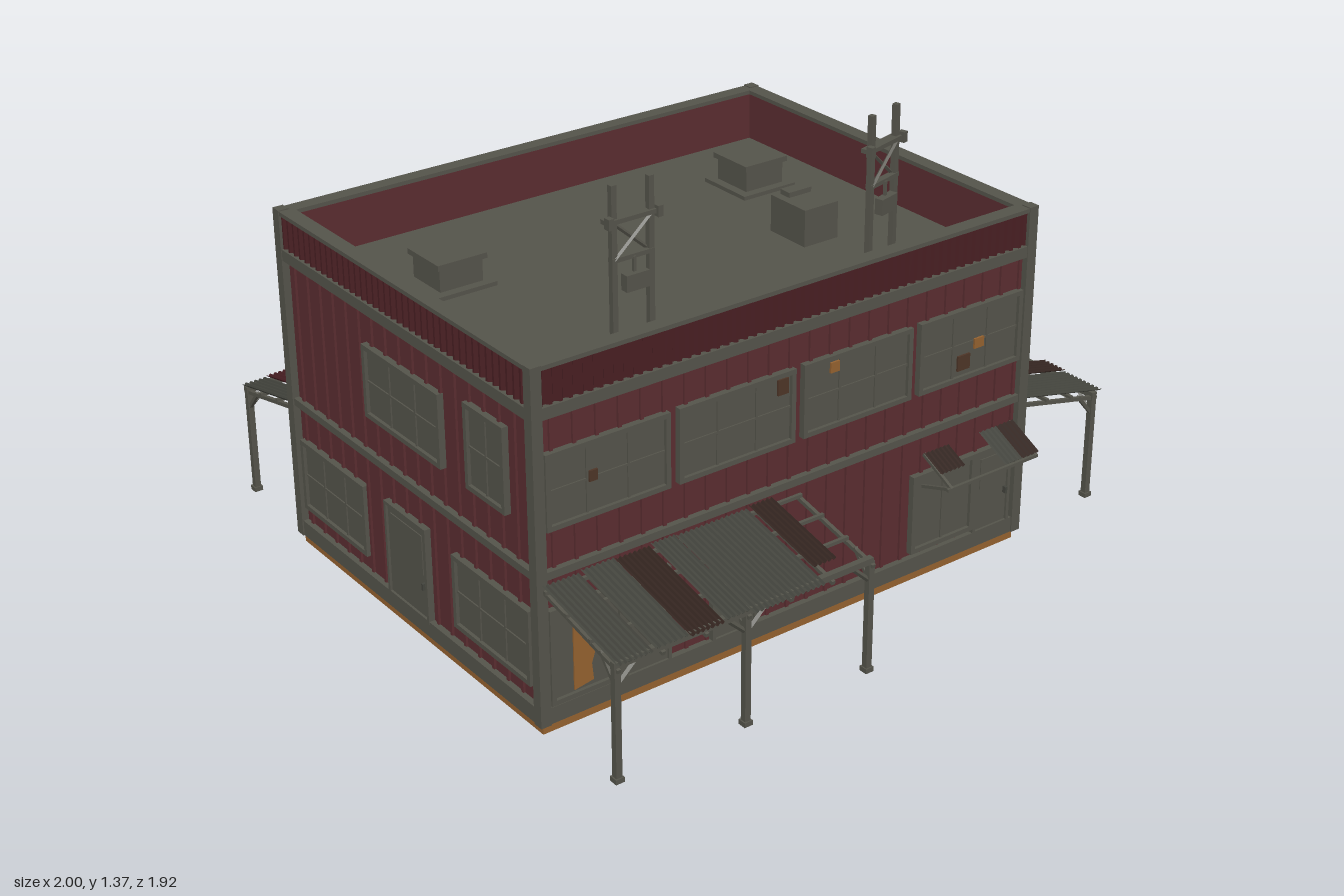
import * as THREE from 'three';

const mat = (name, color, side = THREE.FrontSide) => {
  const m = new THREE.MeshStandardMaterial({ color, side });
  m.name = name;
  return m;
};
const GREY = mat('weathered grey', 0x54534a);
const RED = mat('faded red', 0x5a2d30);
const WOOD = mat('bare wood', 0x94612f);
const SHEET = mat('grey sheet', 0x43443d, THREE.DoubleSide);
const REDSHEET = mat('red sheet', 0x481e22, THREE.DoubleSide);
const DARKSHEET = mat('dark rusty sheet', 0x33241f, THREE.DoubleSide);
const BROWN = mat('dark brown', 0x4d3527);

function add(parent, name, geo, m, x = 0, y = 0, z = 0) {
  const mesh = new THREE.Mesh(geo, m);
  mesh.name = name;
  mesh.position.set(x, y, z);
  parent.add(mesh);
  return mesh;
}
const box = (p, name, m, w, h, d, x, y, z) => add(p, name, new THREE.BoxGeometry(w, h, d), m, x, y, z);
// box given by its left, right, bottom, top, back and front
const span = (p, name, m, x0, x1, y0, y1, z0, z1) =>
  box(p, name, m, x1 - x0, y1 - y0, z1 - z0, (x0 + x1) / 2, (y0 + y1) / 2, (z0 + z1) / 2);
// square bar between two points
function bar(p, name, m, a, b, t) {
  const A = new THREE.Vector3(...a), B = new THREE.Vector3(...b);
  const mesh = box(p, name, m, t, t, A.distanceTo(B), 0, 0, 0);
  mesh.position.copy(A).add(B).multiplyScalar(0.5);
  mesh.quaternion.setFromUnitVectors(new THREE.Vector3(0, 0, 1), B.sub(A).normalize());
  return mesh;
}
// wavy sheet in the xy plane, waves running along y
function corrugated(w, h, pitch, amp) {
  const n = Math.max(4, Math.round(w / pitch) * 4);
  const g = new THREE.PlaneGeometry(w, h, n, 1);
  const p = g.attributes.position;
  for (let i = 0; i < p.count; i++) p.setZ(i, amp * [1, 1, -1, -1][(i % (n + 1)) % 4]);
  const flat = g.toNonIndexed();
  flat.computeVertexNormals();
  return flat;
}

// One wall, facing local +z; d is the distance of its outer face
function makeWall(parent, name, turn, half, d) {
  const g = new THREE.Group();
  g.name = name;
  g.rotation.y = turn;
  parent.add(g);
  const e = half - 0.03;
  for (let u = -e + 0.035; u < e; u += 0.068) span(g, 'wallRib', RED, u - 0.005, u + 0.005, 0.08, 0.9, d - 0.024, d - 0.015);
  span(g, 'baseTrim', GREY, -e, e, 0.03, 0.078, d - 0.03, d - 0.004);
  span(g, 'middleTrim', GREY, -e, e, 0.452, 0.474, d - 0.03, d - 0.004);
  span(g, 'upperTrim', GREY, -e, e, 0.897, 0.93, d - 0.03, d - 0.002);
  add(g, 'corrugatedFascia', corrugated(2 * e, 0.1, 0.03, 0.005), REDSHEET, 0, 0.98, d - 0.013);
  span(g, 'parapet', RED, -half + 0.024, half - 0.024, 0.87, 1.03, d - 0.043, d - 0.022);
  span(g, 'parapetCap', GREY, -half + 0.002, half - 0.002, 1.03, 1.042, d - 0.047, d - 0.002);
  return g;
}
function frame(g, d, u0, u1, y0, y1, t = 0.014) {
  for (const [a, b, c, e] of [[u0, u1, y0, y0 + t], [u0, u1, y1 - t, y1], [u0, u0 + t, y0, y1], [u1 - t, u1, y0, y1]])
    span(g, 'frame', GREY, a, b, c, e, d - 0.024, d - 0.003);
}
function makeWindow(g, d, u0, u1, y0, y1, cols = 3, rows = 2) {
  frame(g, d, u0, u1, y0, y1);
  span(g, 'windowPane', GREY, u0, u1, y0, y1, d - 0.024, d - 0.013);
  for (let i = 1; i < cols; i++) {
    const u = u0 + (u1 - u0) * i / cols;
    span(g, 'windowBar', GREY, u - 0.003, u + 0.003, y0, y1, d - 0.02, d - 0.009);
  }
  for (let i = 1; i < rows; i++) {
    const y = y0 + (y1 - y0) * i / rows;
    span(g, 'windowBar', GREY, u0, u1, y - 0.003, y + 0.003, d - 0.02, d - 0.009);
  }
}
function makeDoor(g, d, u0, u1, y1 = 0.345) {
  frame(g, d, u0, u1, 0.07, y1, 0.01);
  span(g, 'door', GREY, u0, u1, 0.07, y1, d - 0.024, d - 0.01);
  span(g, 'doorPanel', GREY, u0 + 0.025, u1 - 0.025, 0.21, y1 - 0.03, d - 0.012, d - 0.007);
  box(g, 'doorHandle', SHEET, 0.008, 0.02, 0.012, u1 - 0.018, 0.18, d - 0.004);
}
function makeBoards(g, d, u0, u1, y0, y1, m = GREY, n = 5) {
  const h = (y1 - y0) / n;
  for (let i = 0; i < n; i++) {
    const b = box(g, 'board', m, (u1 - u0) * (i % 2 ? 1 : 0.9), h * 0.78, 0.008, (u0 + u1) / 2, y0 + h * (i + 0.5), d - 0.001);
    b.rotation.z = [0.06, -0.09, 0.03, -0.05, 0.08][i % 5];
  }
}
// small patches over missing panes: [u, y, width, height, material]
const makePatches = (g, d, list) => list.forEach(([u, y, w, h, m]) => box(g, 'panePatch', m, w, h, 0.006, u, y, d - 0.007));
// ragged plywood behind a shop window
function makePlywood(g, d, u, s) {
  const pts = [[-0.03, 0.1], [0.03, 0.11], [0.025, 0.16], [0.035, 0.19], [0.012, 0.24], [0.016, 0.29], [-0.005, 0.345], [-0.03, 0.345]];
  const shape = new THREE.Shape(pts.map(([x, y]) => new THREE.Vector2(x * s, y)));
  add(g, 'brokenPlywood', new THREE.ExtrudeGeometry(shape, { depth: 0.004, bevelEnabled: false }), WOOD, u, 0, d - 0.012);
}

// Lean-to roof: posts at the given places, sheets as [u0, u1, depth, material]
function makeAwning(wall, d, u0, u1, posts, sheets) {
  const g = new THREE.Group();
  g.name = 'awning';
  g.position.z = d;
  wall.add(g);
  const slope = 0.22, top = z => 0.44 - slope * z;
  for (const u of posts) {
    span(g, 'post', GREY, u - 0.009, u + 0.009, 0.03, top(0.295) - 0.01, 0.286, 0.304);
    box(g, 'postFoot', GREY, 0.026, 0.014, 0.026, u, 0.037, 0.295);
    bar(g, 'brace', GREY, [u, top(0.295) - 0.07, 0.295], [u, top(0.235) - 0.012, 0.235], 0.01);
    for (const s of [-1, 1]) if (u + s * 0.07 > u0 && u + s * 0.07 < u1)
      bar(g, 'brace', GREY, [u, top(0.295) - 0.07, 0.295], [u + s * 0.06, top(0.295) - 0.014, 0.295], 0.01);
  }
  for (const z of [0.01, 0.1, 0.2, 0.295]) bar(g, 'purlin', GREY, [u0, top(z) - 0.008, z], [u1, top(z) - 0.008, z], z > 0.25 ? 0.018 : 0.01);
  for (let i = 0; i < posts.length; i++) {
    const mids = i + 1 < posts.length ? [0, 1 / 3, 2 / 3] : [0];
    for (const f of mids) {
      const u = posts[i] + f * ((posts[i + 1] ?? 0) - posts[i]);
      bar(g, 'rafter', GREY, [u, top(0) - 0.018, 0], [u, top(0.31) - 0.018, 0.31], 0.011);
    }
  }
  sheets.forEach(([a, b, len, m], i) => {
    const s = add(g, 'roofSheet', corrugated(b - a, len * Math.hypot(1, slope), 0.016, 0.003), m, (a + b) / 2, top(len / 2) + 0.004 + (i % 2) * 0.005, len / 2);
    s.rotation.x = -Math.PI / 2 + Math.atan(slope);
  });
}

export function createModel() {
  const model = new THREE.Group();
  model.name = 'building';
  const house = new THREE.Group();
  house.name = 'house';
  house.position.x = -0.165;
  model.add(house);
  const HX = 0.835, HZ = 0.63;

  // shell, corner posts and roof deck
  span(house, 'foundation', WOOD, -HX + 0.015, HX - 0.015, 0, 0.03, -HZ + 0.015, HZ - 0.015);
  span(house, 'walls', RED, -HX + 0.022, HX - 0.022, 0.03, 0.875, -HZ + 0.022, HZ - 0.022);
  span(house, 'roofDeck', GREY, -HX + 0.03, HX - 0.03, 0.87, 0.885, -HZ + 0.03, HZ - 0.03);
  for (const x of [-1, 1]) for (const z of [-1, 1])
    box(house, 'cornerPost', GREY, 0.032, 1.015, 0.032, x * (HX - 0.016), 0.5375, z * (HZ - 0.016));

  const front = makeWall(house, 'frontWall', 0, HX, HZ);
  const back = makeWall(house, 'backWall', Math.PI, HX, HZ);
  const left = makeWall(house, 'leftWall', Math.PI / 2, HZ, HX);
  const right = makeWall(house, 'rightWall', -Math.PI / 2, HZ, HX);

  // upper window bands
  for (const w of [front, back]) for (let i = 0; i < 4; i++) makeWindow(w, HZ, -0.797 + i * 0.406, -0.797 + i * 0.406 + 0.378, 0.585, 0.8);
  for (let i = 0; i < 3; i++) makeWindow(left, HX, -0.593 + i * 0.404, -0.593 + i * 0.404 + 0.378, 0.585, 0.8);
  makeWindow(right, HX, -0.19, 0.19, 0.585, 0.8);
  makeWindow(right, HX, 0.31, 0.49, 0.585, 0.83, 2, 2);
  makePatches(front, HZ, [[-0.655, 0.7, 0.025, 0.03, BROWN], [-0.055, 0.76, 0.035, 0.045, BROWN], [0.12, 0.765, 0.03, 0.03, WOOD],
    [0.585, 0.64, 0.045, 0.045, BROWN], [0.64, 0.685, 0.035, 0.03, WOOD]]);
  makePatches(left, HX, [[-0.46, 0.69, 0.03, 0.03, WOOD], [-0.39, 0.7, 0.04, 0.035, BROWN], [-0.155, 0.71, 0.05, 0.025, WOOD],
    [0.12, 0.64, 0.1, 0.05, WOOD], [0.47, 0.7, 0.04, 0.035, BROWN], [0.56, 0.7, 0.04, 0.045, WOOD]]);
  makePatches(back, HZ, [[-0.74, 0.69, 0.04, 0.05, WOOD], [-0.35, 0.72, 0.04, 0.04, BROWN], [0.3, 0.66, 0.05, 0.04, WOOD], [0.6, 0.69, 0.2, 0.1, WOOD]]);
  makeBoards(back, HZ, 0.43, 0.79, 0.61, 0.78, GREY, 3);

  // ground floor, front
  makeWindow(front, HZ, -0.797, -0.57, 0.08, 0.36, 1, 1);
  makeDoor(front, HZ, -0.57, -0.42, 0.36);
  makePlywood(front, HZ, -0.695, 1);
  makeDoor(front, HZ, -0.285, -0.135);
  box(front, 'panePatch', WOOD, 0.02, 0.05, 0.006, -0.235, 0.29, HZ - 0.006);
  makeWindow(front, HZ, 0.415, 0.65, 0.09, 0.335, 2, 1);
  makeDoor(front, HZ, 0.65, 0.79, 0.335);

  // ground floor, left side
  makeWindow(left, HX, -0.593, -0.37, 0.08, 0.36, 1, 1);
  makePlywood(left, HX, -0.495, 1.1);
  makeDoor(left, HX, -0.37, -0.225, 0.36);
  frame(left, HX, -0.09, 0.085, 0.13, 0.355, 0.008);
  makeBoards(left, HX, -0.09, 0.085, 0.135, 0.35, GREY, 5);
  span(left, 'boardedWindow', GREY, 0.32, 0.5, 0.13, 0.355, HX - 0.024, HX - 0.003);

  // ground floor, back and right side
  [-0.515, -0.195, 0.235, 0.615].forEach((u, i) => {
    if (i === 1) frame(back, HZ, u - 0.085, u + 0.085, 0.13, 0.355, 0.008);
    else makeWindow(back, HZ, u - 0.08, u + 0.08, 0.13, 0.355, 1, 2);
    if (i === 1) makeBoards(back, HZ, u - 0.08, u + 0.08, 0.135, 0.35);
    if (i === 2) makePatches(back, HZ, [[u, 0.19, 0.09, 0.06, WOOD]]);
  });
  makeWindow(right, HX, -0.58, -0.23, 0.13, 0.35);
  makeDoor(right, HX, -0.12, 0.09, 0.36);
  makeWindow(right, HX, 0.22, 0.58, 0.13, 0.35);

  // awnings
  const S = SHEET, R = REDSHEET, D = DARKSHEET;
  makeAwning(front, HZ, -0.82, 0.0, [-0.81, -0.41, -0.005],
    [[-0.82, -0.712, 0.315, S], [-0.705, -0.605, 0.315, S], [-0.6, -0.495, 0.315, D], [-0.49, -0.415, 0.315, S], [-0.41, -0.18, 0.325, S], [-0.172, -0.095, 0.265, D]]);
  makeAwning(left, HX, -0.615, 0.62, [-0.605, -0.205, 0.205, 0.61],
    [[-0.61, -0.46, 0.33, S], [-0.46, -0.375, 0.33, D], [-0.375, -0.24, 0.27, S], [-0.2, -0.085, 0.33, S], [-0.08, 0.04, 0.33, R],
      [0.04, 0.115, 0.27, R], [0.21, 0.32, 0.33, S], [0.325, 0.445, 0.33, S], [0.45, 0.53, 0.27, S]]);
  const backSheets = [[-0.985, -0.91, S], [-0.905, -0.8, R], [-0.795, -0.7, S], [-0.69, -0.58, S], [-0.485, -0.405, S, 0.27], [-0.4, -0.28, S, 0.33],
    [-0.28, -0.165, D, 0.33], [-0.16, 0, S], [0, 0.12, S], [0.125, 0.245, R], [0.25, 0.325, R], [0.33, 0.43, S], [0.435, 0.53, D], [0.54, 0.65, S]];
  makeAwning(back, HZ, -0.82, 0.82, [-0.81, -0.405, 0, 0.405, 0.81],
    backSheets.map(([a, b, m, len = 0.315]) => [-b - 0.165, -a - 0.165, len, m]));

  // small canopy over the second shop door
  const canopy = new THREE.Group();
  canopy.name = 'smallCanopy';
  canopy.position.z = HZ;
  front.add(canopy);
  bar(canopy, 'canopyRail', GREY, [0.44, 0.335, 0.105], [0.78, 0.335, 0.105], 0.009);
  for (const u of [0.455, 0.775]) {
    bar(canopy, 'canopyArm', GREY, [u, 0.395, -0.01], [u, 0.335, 0.108], 0.009);
    bar(canopy, 'canopyBrace', GREY, [u, 0.295, -0.01], [u, 0.335, 0.108], 0.009);
  }
  for (const [a, b, len, m] of [[0.445, 0.535, 0.07, D], [0.65, 0.715, 0.11, S], [0.715, 0.78, 0.11, D]]) {
    const s = add(canopy, 'canopySheet', corrugated(b - a, len * 1.12, 0.016, 0.003), m, (a + b) / 2, 0.403 - len * 0.25, len / 2);
    s.rotation.x = -Math.PI / 2 + 0.465;
  }

  // roof hatches
  for (const [x, z] of [[-0.7, -0.22], [0.39, -0.285]]) {
    box(model, 'hatchFlange', GREY, 0.19, 0.012, 0.19, x, 0.891, z);
    box(model, 'hatchBody', GREY, 0.135, 0.07, 0.135, x, 0.93, z);
    box(model, 'hatchLid', GREY, 0.155, 0.016, 0.155, x, 0.972, z);
  }
  // roof cooling unit
  box(model, 'coolerBody', GREY, 0.12, 0.11, 0.15, 0.275, 0.94, 0.105);
  box(model, 'coolerTop', GREY, 0.08, 0.02, 0.04, 0.28, 1.0, 0.06);
  box(model, 'coolerPipe', GREY, 0.03, 0.07, 0.035, 0.348, 0.93, 0.065);

  // lattice masts
  for (const [x, z, turn] of [[-0.578, 0.46, 0], [0.243, 0.463, 0.26]]) {
    const m = new THREE.Group();
    m.name = 'mast';
    m.position.set(x, 0, z);
    m.rotation.y = turn;
    model.add(m);
    for (const s of [-1, 1]) {
      span(m, 'mastPole', GREY, s * 0.057 - 0.008, s * 0.057 + 0.008, 0.88, 1.37, -0.008, 0.008);
      box(m, 'mastFoot', GREY, 0.035, 0.012, 0.035, s * 0.057, 0.891, 0);
      bar(m, 'mastBrace', GREY, [-0.057, 1.22 - s * 0.05, s * 0.006], [0.057, 1.22 + s * 0.05, s * 0.006], 0.008);
      for (const y of [1.275]) box(m, 'mastKnob', GREY, 0.016, 0.03, 0.02, s * 0.075, y, 0.012);
    }
    box(m, 'mastCrossbar', GREY, 0.165, 0.012, 0.03, 0, 1.275, 0);
    box(m, 'mastCrossbar', GREY, 0.13, 0.012, 0.02, 0, 1.17, 0);
    box(m, 'mastHanger', GREY, 0.008, 0.05, 0.008, 0, 1.145, 0.01);
    box(m, 'mastBox', GREY, 0.07, 0.045, 0.025, 0, 1.107, 0.015);
  }
  return model;
}
